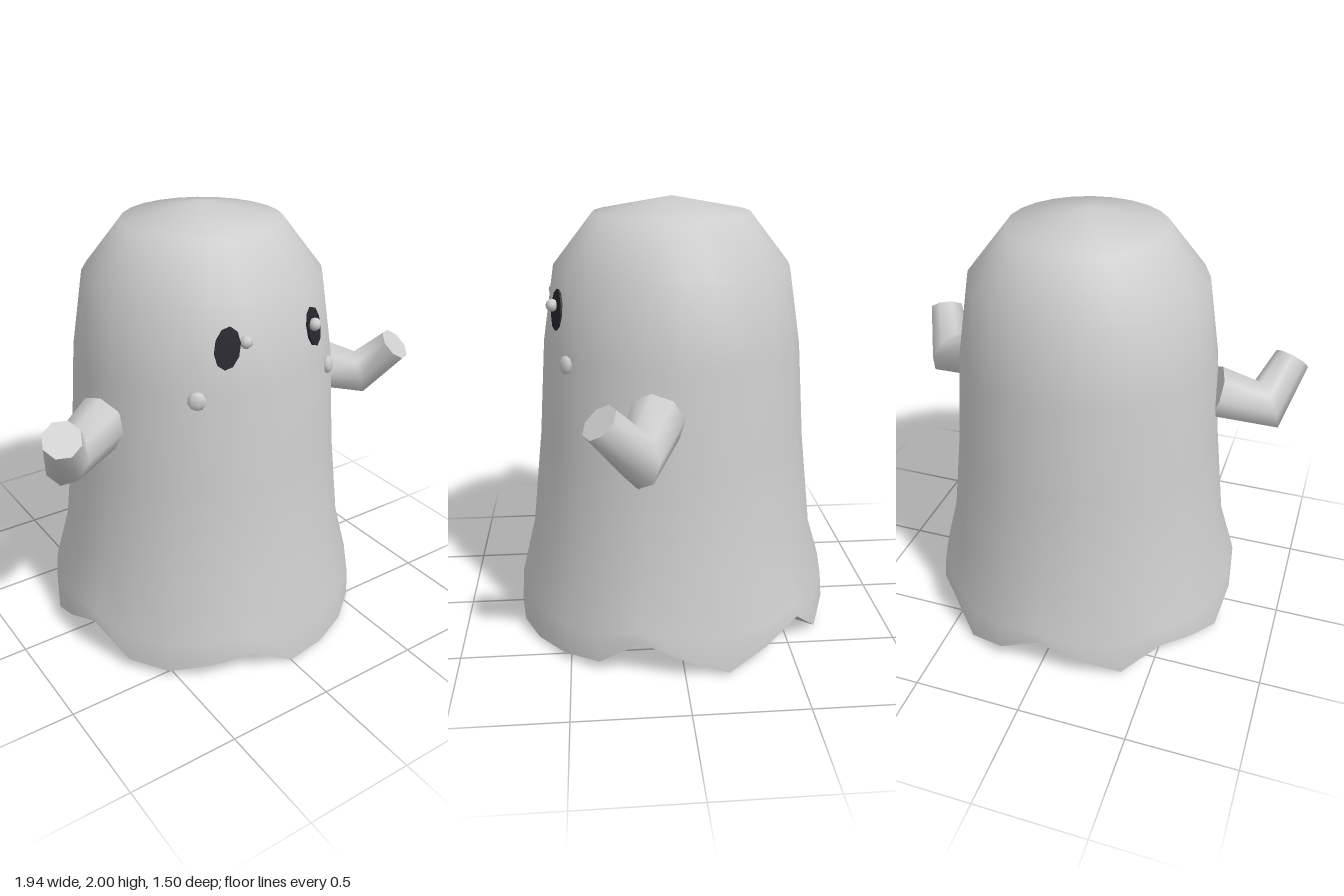
import * as THREE from 'three';
import { mergeVertices } from 'three/addons/utils/BufferGeometryUtils.js';

const SIDES = 24;
// Hem height every 15 degrees, starting at the front and going towards +x
const HEM = [0.005, 0.012, 0.02, 0.03, 0.05, 0.18, 0.095, 0.01, 0.09, 0.16, 0.015, 0.07,
  0.18, 0.1, 0.015, 0.12, 0.08, 0.01, 0.1, 0.18, 0.05, 0.035, 0.08, 0.115];
// Body outline: radius, height
const OUTLINE = [[0.75, 0], [0.74, 0.19], [0.672, 0.45], [0.622, 0.9], [0.59, 1.35],
  [0.535, 1.7], [0.355, 1.93], [0, 2]];

function buildBody() {
  const n = OUTLINE.length;
  const geo = new THREE.LatheGeometry(OUTLINE.map(([r, y]) => new THREE.Vector2(r, y)), SIDES);
  const pos = geo.attributes.position;
  for (let i = 0; i <= SIDES; i++) {
    const y = HEM[i % SIDES];
    pos.setY(i * n, y);
    // Second ring follows the hem so notches never cross it
    pos.setY(i * n + 1, 0.17 + y * 0.3);
  }
  geo.deleteAttribute('normal');
  geo.deleteAttribute('uv');
  const merged = mergeVertices(geo, 1e-4);
  merged.computeVertexNormals();
  return merged;
}

// Closed underside: a fan from the centre to the ragged hem
function buildUnderside() {
  const verts = [0, 0.08, 0];
  const index = [];
  for (let i = 0; i < SIDES; i++) {
    const a = (i / SIDES) * Math.PI * 2;
    verts.push(0.75 * Math.sin(a), HEM[i], 0.75 * Math.cos(a));
    index.push(0, ((i + 1) % SIDES) + 1, i + 1);
  }
  const geo = new THREE.BufferGeometry();
  geo.setAttribute('position', new THREE.Float32BufferAttribute(verts, 3));
  geo.setIndex(index);
  geo.computeVertexNormals();
  return geo;
}

// Bent eight-sided arm with a mitred elbow; returns the skin and the flat hand end
function buildArm(side) {
  const sides = 8;
  const path = [[0.575, 1.15, 0.11], [0.81, 1.07, 0.2], [0.89, 1.25, 0.35]]
    .map(([x, y, z]) => new THREE.Vector3(side * x, y, z));
  const radii = [0.125, 0.1, 0.083];
  const d1 = path[1].clone().sub(path[0]).normalize();
  const d2 = path[2].clone().sub(path[1]).normalize();
  const hinge = d1.clone().cross(d2).normalize();
  const mid = d1.clone().add(d2).normalize();
  const dirs = [d1, mid, d2];
  const stretch = [1, 1 / mid.dot(d1), 1];
  const verts = [];
  const index = [];
  path.forEach((c, k) => {
    const v = dirs[k].clone().cross(hinge);
    for (let j = 0; j < sides; j++) {
      const a = ((j + 0.5) / sides) * Math.PI * 2;
      const p = c.clone().addScaledVector(hinge, radii[k] * Math.cos(a))
        .addScaledVector(v, radii[k] * stretch[k] * Math.sin(a));
      verts.push(p.x, p.y, p.z);
      if (k < 2) {
        const b = k * sides + j;
        const e = k * sides + ((j + 1) % sides);
        index.push(b, e, b + sides, e, e + sides, b + sides);
      }
    }
  });
  const skin = new THREE.BufferGeometry();
  skin.setAttribute('position', new THREE.Float32BufferAttribute(verts, 3));
  skin.setIndex(index);
  skin.computeVertexNormals();

  // End caps at the shoulder and the hand
  const caps = new THREE.BufferGeometry();
  const capIndex = [];
  for (let j = 1; j < sides - 1; j++) {
    capIndex.push(0, j + 1, j);
    capIndex.push(2 * sides, 2 * sides + j, 2 * sides + j + 1);
  }
  caps.setAttribute('position', new THREE.Float32BufferAttribute(verts, 3));
  caps.setIndex(capIndex);
  caps.computeVertexNormals();
  return [skin, caps];
}

export function createModel() {
  const model = new THREE.Group();
  model.name = 'ghost';
  const cloth = new THREE.MeshStandardMaterial({ color: 0xcccccc });
  cloth.name = 'pale grey';
  cloth.side = THREE.DoubleSide;
  const dark = new THREE.MeshStandardMaterial({ color: 0x26262c });
  dark.name = 'dark eye';

  const add = (name, geo, mat, parent = model) => {
    const mesh = new THREE.Mesh(geo, mat);
    mesh.name = name;
    parent.add(mesh);
    return mesh;
  };

  add('body', buildBody(), cloth);
  add('underside', buildUnderside(), cloth);

  // Thin eye plate facing +z
  const eyeGeo = new THREE.CylinderGeometry(1, 1, 0.009, 10).rotateX(Math.PI / 2).scale(0.054, 0.09, 1);
  const cheekGeo = new THREE.SphereGeometry(1, 7, 5).scale(0.041, 0.041, 0.02);
  const sparkGeo = new THREE.SphereGeometry(0.028, 8, 6);

  for (const side of [1, -1]) {
    const label = side > 0 ? 'left' : 'right';

    const arm = new THREE.Group();
    arm.name = label + 'Arm';
    model.add(arm);
    const [skin, caps] = buildArm(side);
    add(label + 'ArmSkin', skin, cloth, arm);
    add(label + 'ArmEnds', caps, cloth, arm);

    // Face details lie on the curved front
    const eye = add(label + 'Eye', eyeGeo, dark);
    eye.position.set(side * 0.222, 1.54, 0.518);
    eye.rotation.set(-0.15, side * 0.4, side * 0.15, 'YXZ');

    const cheek = add(label + 'Cheek', cheekGeo, cloth);
    cheek.position.set(side * 0.345, 1.325, 0.485);
    cheek.rotation.set(-0.1, side * 0.62, 0, 'YXZ');

    const spark = add(label + 'EyeSpark', sparkGeo, cloth);
    spark.position.set(side > 0 ? 0.212 : -0.145, 1.558, 0.538);
  }
  return model;
}
